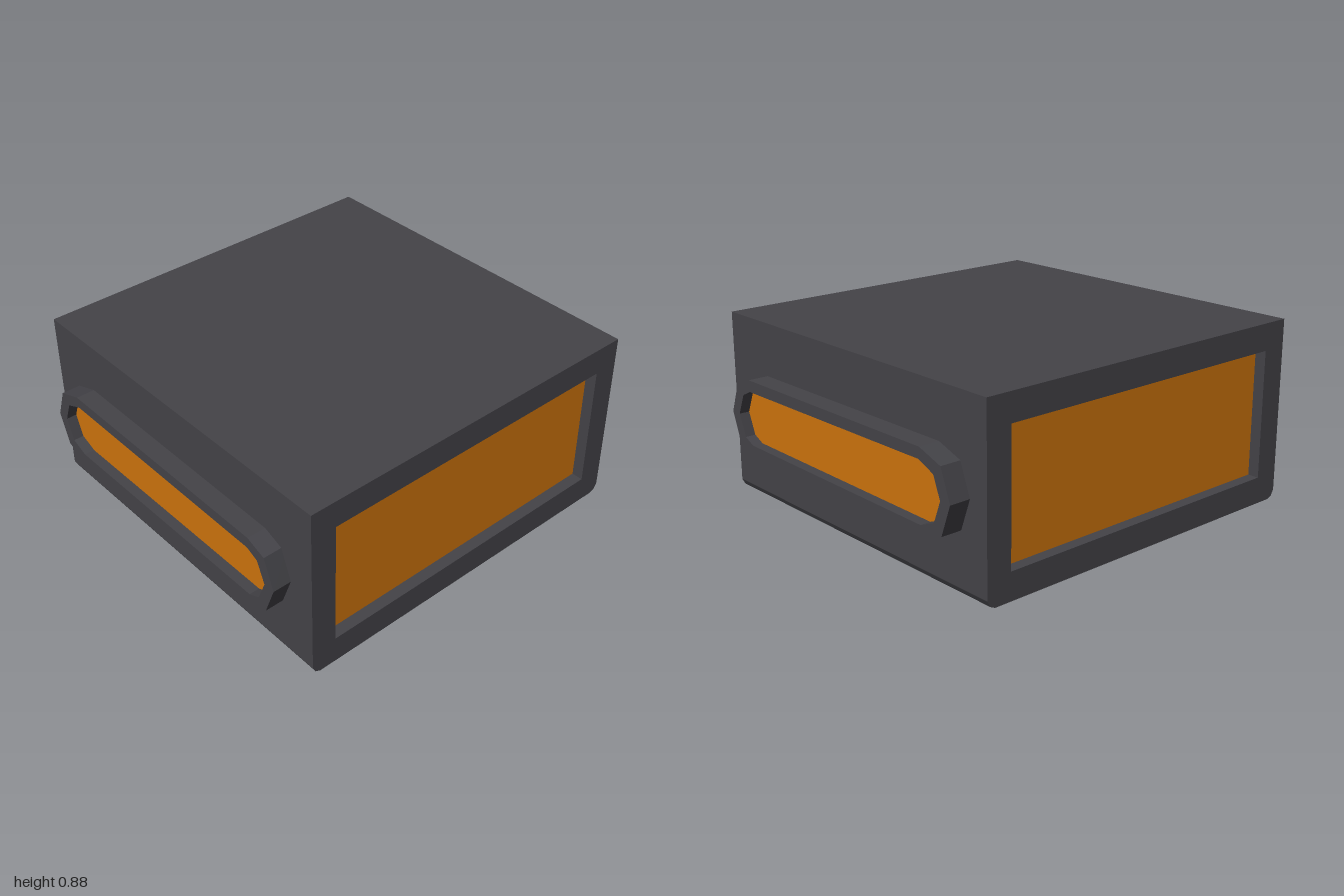
import * as THREE from 'three';

export function createModel() {
  const model = new THREE.Group();
  const casing = new THREE.MeshStandardMaterial({ name: 'charcoal casing', color: 0x444348 });
  const panel = new THREE.MeshStandardMaterial({ name: 'orange panel', color: 0xcc730c });

  const CX = -0.005, W = 0.905, H = 0.875; // body centre, half width, height
  const INSET = 0.06, LIFT = 0.045;        // recess depth of end and base panels

  const add = (name, geometry, material, x = 0, y = 0, z = 0) => {
    const mesh = new THREE.Mesh(geometry, material);
    mesh.name = name;
    mesh.position.set(x, y, z);
    model.add(mesh);
  };
  const box = (w, h, d) => new THREE.BoxGeometry(w, h, d);
  const outline = (pts) => new THREE.Shape(pts.map(([x, y]) => new THREE.Vector2(x, y)));
  const extrude = (shape, depth) => new THREE.ExtrudeGeometry(shape, { depth, bevelEnabled: false });

  // Main body between the end frames
  const inner = W - INSET;
  add('bodyCore', box(2 * W, H - LIFT, 2 * inner), casing, CX, (H + LIFT) / 2, 0);

  // Front and back frames with rounded lower corners and a rectangular opening
  const frame = outline([
    [-0.865, 0], [0.865, 0], [0.89, 0.012], [W, 0.04], [W, H],
    [-W, H], [-W, 0.04], [-0.89, 0.012],
  ]);
  frame.holes.push(outline([[-0.78, 0.13], [-0.78, 0.745], [0.78, 0.745], [0.78, 0.13]]));
  for (const [side, s] of [['front', 1], ['back', -1]]) {
    add(side + 'Frame', extrude(frame, INSET), casing, CX, 0, s > 0 ? inner : -W);
    add(side + 'Panel', box(1.56, 0.615, 0.008), panel, CX, 0.4375, s * inner);
    add(side + 'BaseBar', box(1.66, LIFT, inner - 0.83), casing, CX, LIFT / 2, s * (inner + 0.83) / 2);
  }

  // Base rails and recessed base panel
  for (const [side, s] of [['left', 1], ['right', -1]]) {
    const pts = [[0.83, 0], [0.865, 0], [0.89, 0.012], [W, 0.04], [W, LIFT], [0.83, LIFT]];
    const rail = outline(pts.map(([x, y]) => [s * x, y]));
    add(side + 'BaseRail', extrude(rail, 2 * inner), casing, CX, 0, -inner);
  }
  add('basePanel', box(1.66, 0.008, 1.66), panel, CX, LIFT, 0);

  // Long faceted side windows; profiles are in z and y
  const outer = outline([
    [0.775, 0.44], [0.72, 0.585], [0.62, 0.623], [-0.62, 0.63], [-0.75, 0.585], [-0.805, 0.44],
    [-0.75, 0.292], [-0.65, 0.25], [0.62, 0.257], [0.72, 0.295],
  ]);
  const opening = [
    [0.718, 0.44], [0.675, 0.54], [0.615, 0.568], [-0.615, 0.578], [-0.705, 0.54], [-0.745, 0.44],
    [-0.705, 0.337], [-0.62, 0.302], [0.615, 0.31], [0.675, 0.337],
  ];
  outer.holes.push(outline(opening));
  for (const [side, s] of [['left', 1], ['right', -1]]) {
    const ring = extrude(outer, 0.12).rotateY(-Math.PI / 2);
    add(side + 'WindowRing', ring, casing, s > 0 ? 1 : -0.88);
    const pane = extrude(outline(opening), 0.008).rotateY(-Math.PI / 2);
    add(side + 'WindowPane', pane, panel, s > 0 ? 0.95 : -0.942);
  }
  return model;
}
